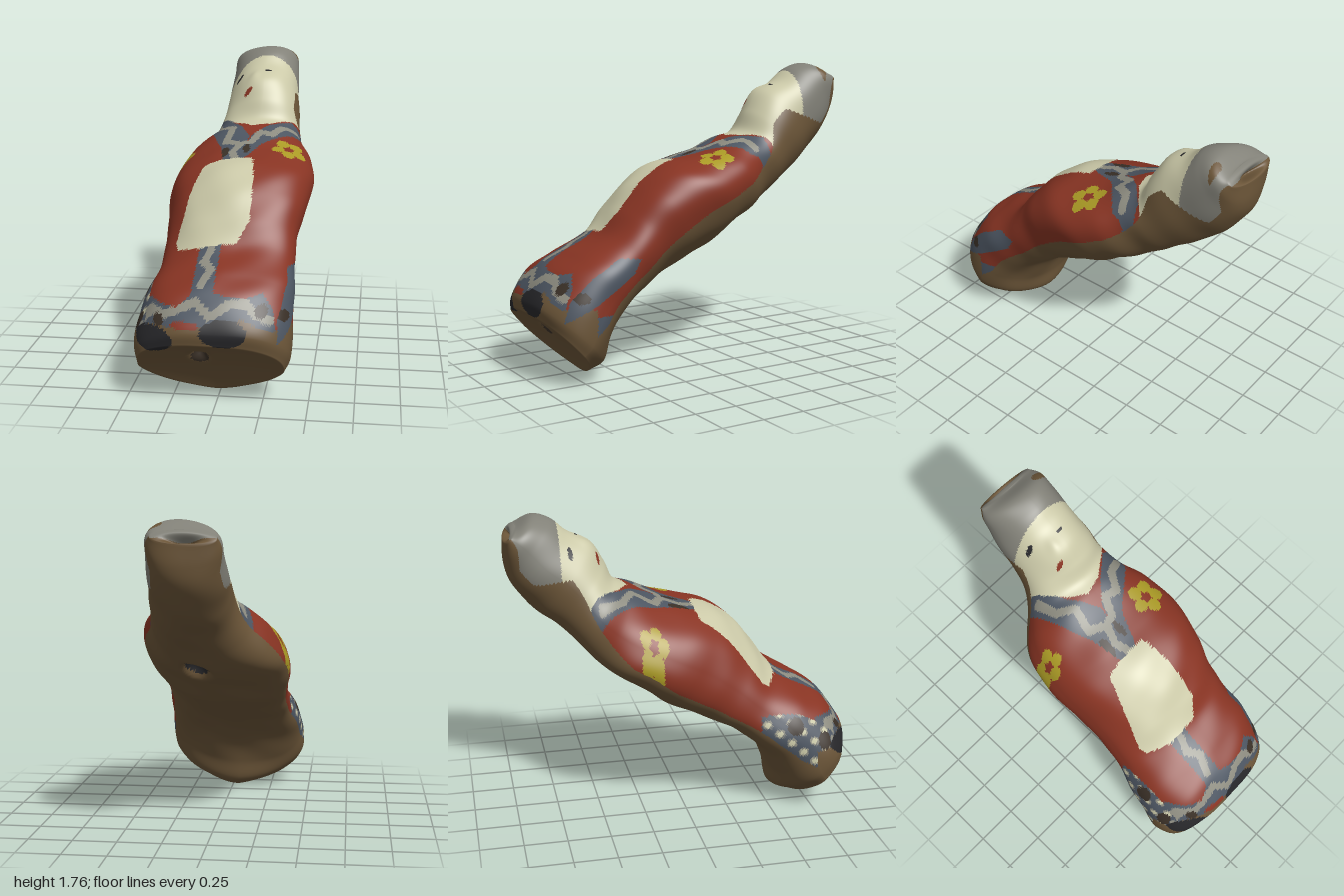
import * as THREE from 'three';

// Cross-sections, base to crown: front z,y | back z,y | right-hand x, left-hand x
const RINGS = [
  [.985, .385, .645, .005, -.44, .37], [.99, .46, .565, .05, -.46, .40],
  [.88, .63, .54, .18, -.45, .405], [.755, .715, .46, .345, -.425, .40],
  [.57, .82, .30, .48, -.37, .38], [.465, .955, .17, .55, -.36, .38],
  [.35, 1.09, 0, .63, -.365, .41], [.2, 1.19, -.14, .70, -.385, .44],
  [.03, 1.23, -.27, .80, -.39, .445], [-.12, 1.27, -.4, .87, -.36, .415],
  [-.27, 1.335, -.5, .94, -.30, .36], [-.37, 1.375, -.6, 1.04, -.2, .345],
  [-.42, 1.485, -.72, 1.14, -.14, .335], [-.49, 1.595, -.82, 1.22, -.125, .325],
  [-.62, 1.665, -.92, 1.33, -.115, .315], [-.72, 1.74, -.98, 1.43, -.11, .31],
  [-.82, 1.767, -1.0, 1.52, -.105, .3], [-.92, 1.715, -1.0, 1.64, -.08, .265],
];
const LAST = RINGS.length - 1;
const AROUND = 240, ALONG = 170, CAP = 16;

// How far back the paint reaches on each side, per ring (1 = front, -1 = back)
const PAINT_LEFT = [.2, .1, -.2, -.2, -.15, -.1, -.05, 0, 0, .05, .15, .35, .6, .5, -.55, -.55, -.1, .1];
const PAINT_RIGHT = [.2, .1, -.3, -.5, -.55, -.6, -.6, -.6, -.55, -.5, -.35, -.15, .05, .15, -.5, -.55, -.2, 0];

// Painted outlines: [x, z] seen from above unless noted
const FACE = [[-.3, -.75], [-.17, -.55], [-.12, -.46], [-.03, -.35], [.06, -.29], [.17, -.32], [.28, -.4], [.4, -.5], [.4, -.75]];
const COLLAR_RIGHT = [[-.24, -.52], [-.14, -.55], [-.05, -.36], [.06, -.2], [.04, .13], [-.06, .13], [-.1, -.1], [-.18, -.31]];
const COLLAR_LEFT = [[.38, -.43], [.36, -.28], [.14, -.1], [.05, .11], [-.02, .1], [.08, -.2], [.16, -.29], [.3, -.41]];
const PANEL = [[-.17, .1], [-.06, .085], [.11, .09], [.14, .29], [.14, .48], [.07, .56], [-.13, .565], [-.26, .5], [-.28, .45], [-.23, .27]];
const SIDE_PANEL = [[.47, .71], [.59, .72], [.75, .625], [.88, .5], [.92, .385], [.86, .42], [.73, .49], [.51, .63]]; // [z, y]
const HEM_LOW = [[-.47, .38], [-.36, .47], [-.2, .48], [0, .5], [.15, .53], [.3, .46], [.42, .46]];   // [x, y]
const HEM_HIGH = [[-.47, .5], [-.36, .58], [-.2, .57], [-.12, .64], [0, .64], [.15, .62], [.25, .64], [.31, .56], [.33, .44], [.42, .41]];
const SCROLLS = [
  [[-.17, -.47], [-.14, -.35], [-.05, -.28], [-.08, -.15], [.02, -.1], [-.02, 0], [.01, .1]],
  [[.33, -.33], [.25, -.29], [.2, -.2], [.12, -.22], [.08, -.12], [0, -.1]],
  [[-.06, .58], [-.09, .66], [-.04, .72], [-.08, .82]],
];
const HEM_SCROLL = [[-.42, .46], [-.34, .54], [-.27, .53], [-.2, .56], [-.1, .6], [-.02, .54], [.08, .6], [.17, .6], [.22, .55], [.3, .51]];

function inside(poly, a, b) {
  let hit = false;
  for (let i = 0, j = poly.length - 1; i < poly.length; j = i++) {
    const [x1, y1] = poly[i], [x2, y2] = poly[j];
    if ((y1 > b) !== (y2 > b) && a < (x2 - x1) * (b - y1) / (y2 - y1) + x1) hit = !hit;
  }
  return hit;
}
function along(line, x) {
  for (let i = 1; i < line.length; i++) {
    const [x1, y1] = line[i - 1], [x2, y2] = line[i];
    if (x <= x2) return y1 + (y2 - y1) * Math.max(0, (x - x1) / (x2 - x1));
  }
  return line[line.length - 1][1];
}
function nearLine(line, a, b, width) {
  for (let i = 1; i < line.length; i++) {
    const [x1, y1] = line[i - 1], dx = line[i][0] - x1, dy = line[i][1] - y1;
    const k = Math.min(1, Math.max(0, ((a - x1) * dx + (b - y1) * dy) / (dx * dx + dy * dy)));
    if (Math.hypot(a - x1 - k * dx, b - y1 - k * dy) < width) return true;
  }
  return false;
}
const spot = (a, b, ca, cb, ra, rb = ra) => ((a - ca) / ra) ** 2 + ((b - cb) / rb) ** 2 < 1;
function flower(x, z, cx, cz, r) {
  for (let k = 0; k < 5; k++) {
    const t = k * Math.PI * .4 + .3;
    if (spot(x, z, cx + r * Math.cos(t), cz + r * Math.sin(t), r * .6)) return true;
  }
  return false;
}
function lerpList(list, u) {
  const i = Math.min(LAST - 1, Math.floor(u));
  return list[i] + (list[i + 1] - list[i]) * (u - i);
}
// Distance from the hole in the back, measured along the leaning body
const holeDistance = ({ x, y, z }) => Math.hypot(x - .1, .61 * y - .79 * z - .877);

// Names the painted part at a point; u = ring, c = front/back position, s = cap radius
function partAt(p, u, c, s) {
  const { x, y, z } = p;
  if (u === 0 && s < 1 && spot(x, y, -.09, .26, .05, .035)) return 'baseHole';
  if (c < -.3 && holeDistance(p) < .07) return 'backHole';
  if (z > .72 && u < 3) {
    if (spot(x, y, -.325, .4, .11, .07) || spot(x, y, .055, .455, .125, .075)) return 'shoes';
  }
  if (s < 1) return u === 0 || s * c < -.15 ? 'clay' : 'hair';
  if (c < lerpList(x > .03 ? PAINT_LEFT : PAINT_RIGHT, u)) return 'clay';
  if (u > 11 && z < -.69) return y > 1.66 && spot(x, z, .26, -.86, .045, .025) ? 'clay' : 'hair';
  if (u > 9 && inside(FACE, x, z)) {
    if (spot(x, z, -.05, -.63, .024, .014) || spot(x, z, .135, -.575, .02, .01)) return 'eyes';
    return spot(x, z, .02, -.465, .026, .009) ? 'mouth' : 'face';
  }
  if (z < .9 && inside(PANEL, x, z)) return 'sleevePanel';
  if (u > 5 && (inside(COLLAR_RIGHT, x, z) || inside(COLLAR_LEFT, x, z))) {
    if (spot(x, z, -.07, -.01, .03, .06) || spot(x, z, .06, -.04, .02, .05)) return 'collarShade';
    return SCROLLS.some((l) => nearLine(l, x, z, .023)) ? 'collarScroll' : 'collar';
  }
  if (flower(x, z, -.355, -.21, .053) || flower(x, z, .31, -.07, .065)) return 'flowers';
  if (x > .27 && inside(SIDE_PANEL, z, y)) return spot(z, y, .82, .52, .04, .03) ? 'hemShade' : 'hem';
  if (z > .75 && spot(x, y, -.15, .49, .08, .02)) return 'robe';
  if (z > .75 && y < along(HEM_LOW, x)) return 'clay';
  if (x < -.38 && z > .42 && u < 5) {
    if (spot(z, y, .62, .55, .05, .05) || spot(z, y, .8, .45, .04, .05)) return 'hemShade';
    const k = Math.sin(z * 45) * Math.sin(y * 50 + x * 20);
    return k > .65 ? 'hemDots' : k > .25 ? 'hemScroll' : 'hem';
  }
  if ((z > .65 && y < along(HEM_HIGH, x)) || (z > .5 && x > -.13 && x < -.01)) {
    if (spot(x, y, .25, .56, .035) || spot(x, y, -.3, .5, .03)) return 'hemShade';
    return nearLine(HEM_SCROLL, x, y, .021) || nearLine(SCROLLS[2], x, z, .023) ? 'hemScroll' : 'hem';
  }
  return 'robe';
}

export function createModel() {
  const mat = (name, color) => new THREE.MeshStandardMaterial({ name, color });
  const clay = mat('brownClay', 0x6b5538), red = mat('robeRed', 0x883423), cream = mat('cream', 0xcbc9a8);
  const slate = mat('slateBlue', 0x4c5561), pale = mat('paleGrey', 0x8d8c80), grey = mat('hairGrey', 0x828178);
  const black = mat('charcoal', 0x27272a), yellow = mat('flowerYellow', 0xaa9a25), dark = mat('darkBrown', 0x3a3027);
  const PARTS = {
    clay, robe: red, mouth: red, face: cream, sleevePanel: cream, hemDots: cream, collar: slate, hem: slate,
    collarScroll: pale, hemScroll: pale, hair: grey, shoes: black, eyes: black, flowers: yellow,
    collarShade: dark, hemShade: dark, baseHole: dark, backHole: black,
  };

  // Smooth curves through the section data
  const curve = (a, b, w) => new THREE.CatmullRomCurve3(RINGS.map((r) => new THREE.Vector3(r[w], r[b], r[a])));
  const front = curve(0, 1, 4), back = curve(2, 3, 5);

  // Rows: base cap, body, crown cap
  const rows = [];
  for (let i = 0; i < CAP; i++) rows.push([0, i / CAP]);
  for (let i = 0; i <= ALONG; i++) rows.push([LAST * i / ALONG, 1]);
  for (let i = CAP - 1; i >= 0; i--) rows.push([LAST, i / CAP]);

  const pos = [], info = [];
  const axis = new THREE.Vector3(0, .61, -.79), p = new THREE.Vector3();
  const power = (v, n) => Math.sign(v) * Math.abs(v) ** (2 / n);
  const { lerp, smoothstep } = THREE.MathUtils;
  for (const [u, s] of rows) {
    const f = front.getPoint(u / LAST), b = back.getPoint(u / LAST);
    const cx = (f.x + b.x) / 2, w = (b.x - f.x) / 2;
    // The body is slightly twisted, boxier at its left front and right back; the head is rounder
    const toBody = smoothstep(u, 0, 4), toHead = smoothstep(u, 9, 12);
    const skew = lerp(.08 * smoothstep(u, 0, 5), .02, toHead);
    for (let j = 0; j < AROUND; j++) {
      const t = j / AROUND * Math.PI * 2, left = Math.sin(t) > 0;
      const n = Math.cos(t) > 0
        ? lerp(lerp(2.5, left ? 2.4 : 2.1, toBody), left ? 2.1 : 1.85, toHead)
        : lerp(lerp(1.5, left ? 2.2 : 2.8, toBody), 2.2, toHead);
      const c = power(Math.cos(t), n);
      p.set(cx + s * (w * power(Math.sin(t), n) + skew * c),
        (f.y + b.y) / 2 + s * c * (f.y - b.y) / 2,
        (f.z + b.z) / 2 + s * c * (f.z - b.z) / 2);
      // Hollowed base with a pit
      if (u === 0) {
        const pit = Math.exp(-(((p.x + .09) / .04) ** 2) - ((p.y - .26) / .03) ** 2);
        p.addScaledVector(axis, .03 * (1 - s * s) + .06 * pit);
      }
      // Domed crown with a hollow at its back
      if (u === LAST) {
        const hollow = Math.exp(-(((s * c + .3) / .4) ** 2) - (s * Math.sin(t) / .5) ** 2);
        p.addScaledVector(axis, .02 * (1 - s * s) - .08 * hollow * (1 - s ** 4));
      }
      // Round hole in the back
      const d = holeDistance(p);
      if (c < -.3 && d < .15) {
        const k = .08 * Math.exp(-((d / .075) ** 4));
        p.y += .79 * k; p.z += .61 * k;
      }
      // Nose and hand-modelled unevenness
      if (c > .3) p.y += .012 * Math.exp(-(((p.x - .05) / .035) ** 2) - ((p.z + .53) / .05) ** 2);
      if (s === 1) {
        const k = .004 * Math.sin(p.x * 17 + p.z * 11) * Math.sin(p.y * 19 - p.z * 7);
        p.x += k * Math.sin(t); p.y += k * .79 * c; p.z += k * .61 * c;
      }
      pos.push(p.x, p.y, p.z);
      info.push(c);
    }
  }

  // Sort the triangles into painted parts
  const all = [], lists = {};
  const A = new THREE.Vector3(), B = new THREE.Vector3();
  const addTri = (tri, u, s) => {
    A.set(0, 0, 0);
    let c = 0;
    for (const i of tri) { A.add(B.fromArray(pos, i * 3)); c += info[i] / 3; }
    (lists[partAt(A.divideScalar(3), u, c, s)] ??= []).push(...tri);
    all.push(...tri);
  };
  for (let i = 0; i < rows.length - 1; i++) {
    const u = (rows[i][0] + rows[i + 1][0]) / 2, s = (rows[i][1] + rows[i + 1][1]) / 2;
    for (let j = 0; j < AROUND; j++) {
      const k = (j + 1) % AROUND, a = i * AROUND + j, b = i * AROUND + k;
      addTri([a, b, b + AROUND], u, s);
      addTri([a, b + AROUND, a + AROUND], u, s);
    }
  }

  const whole = new THREE.BufferGeometry();
  whole.setAttribute('position', new THREE.Float32BufferAttribute(pos, 3));
  whole.setIndex(all);
  whole.computeVertexNormals();
  whole.computeBoundingBox();

  const model = new THREE.Group();
  model.name = 'leaningFigurine';
  for (const [name, index] of Object.entries(lists)) {
    const part = new THREE.BufferGeometry();
    part.setAttribute('position', whole.attributes.position);
    part.setAttribute('normal', whole.attributes.normal);
    part.setIndex(index);
    const mesh = new THREE.Mesh(part, PARTS[name]);
    mesh.name = name;
    mesh.position.y = -whole.boundingBox.min.y;
    model.add(mesh);
  }
  return model;
}
